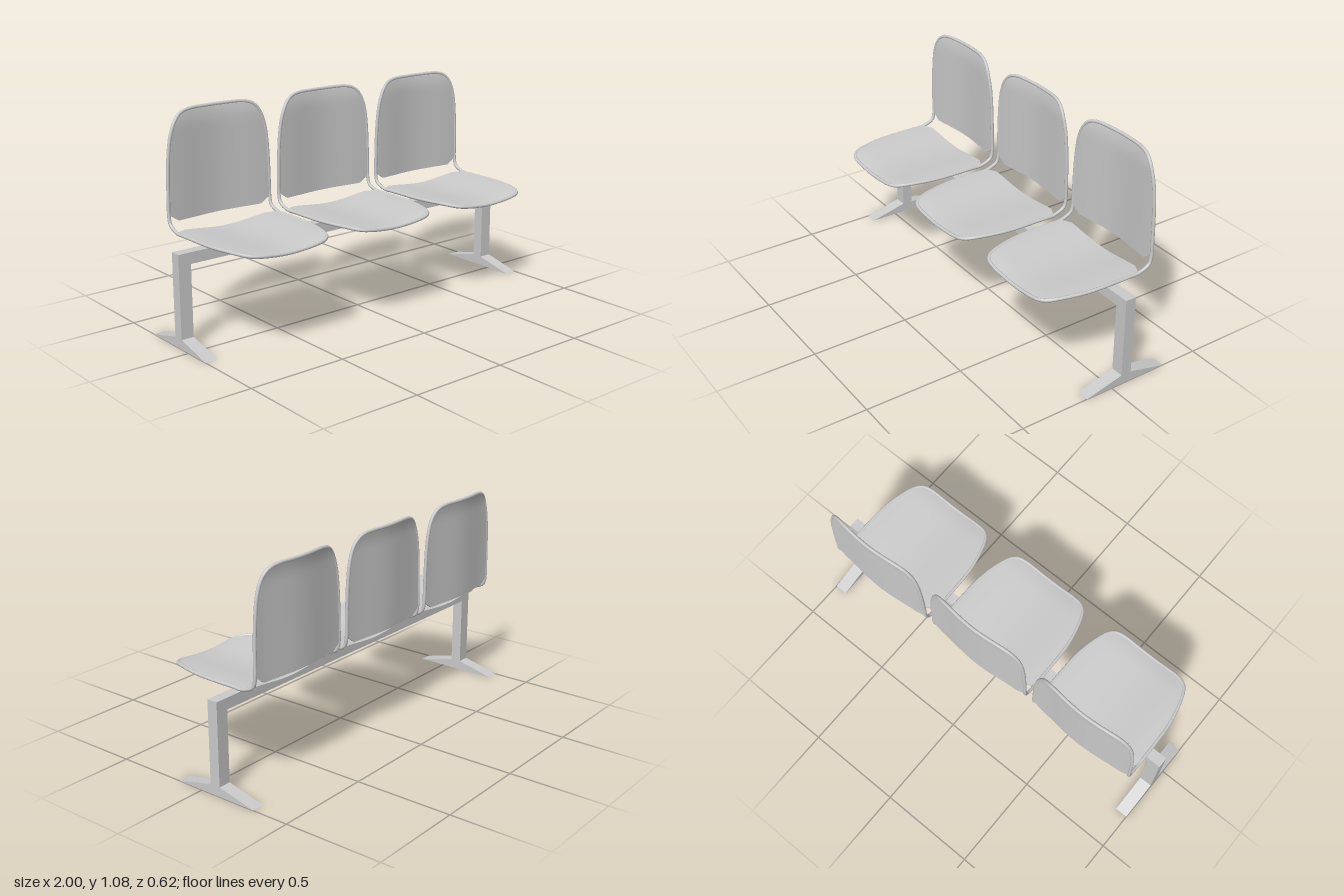
import * as THREE from 'three';

const material = new THREE.MeshStandardMaterial({ color: 0xcccccc });
const HALF = 0.287;       // half width of a seat frame, tube centre
const BEAM_Z = -0.083;

function addMesh(parent, name, geometry, x = 0, y = 0, z = 0) {
  const mesh = new THREE.Mesh(geometry, material);
  mesh.name = name;
  mesh.position.set(x, y, z);
  parent.add(mesh);
  return mesh;
}

// Hollow across the width, shared by frame and panels
const dip = (x) => 0.021 * (0.5 + 0.5 * Math.cos(Math.PI * Math.min(1, Math.abs(x) / HALF)));
const curl = (s, start, end, amount) => amount * Math.max(0, (s - start) / (end - start)) ** 2;

// Surfaces: s runs to the front on the seat and upwards on the backrest; t is the offset along the normal
const seatPoint = (x, s, t = 0) =>
  new THREE.Vector3(x, 0.51 - dip(x) - curl(s, 0.2, 0.3, 0.007) + t, s);
const backPoint = (x, s, t = 0) =>
  new THREE.Vector3(x, s, -0.264 - dip(x) - curl(s, 0.98, 1.068, 0.01) + t);

// Half outlines as (half width, s), from the bend to the free edge
const outline = (points) => new THREE.SplineCurve(points.map(([w, s]) => new THREE.Vector2(w, s)));
const seatOutline = outline([[0.287, -0.19], [0.286, -0.05], [0.283, 0.05], [0.27, 0.14],
  [0.245, 0.23], [0.222, 0.272], [0.19, 0.293], [0.14, 0.3]]);
const backOutline = outline([[0.287, 0.585], [0.284, 0.74], [0.277, 0.86], [0.264, 0.945],
  [0.24, 1.01], [0.21, 1.046], [0.175, 1.062], [0.13, 1.068]]);

// Thin curved panel with chamfered inner corners
function panelGeometry(curve, innerRow, surface, flip) {
  const rows = 25;
  const geometry = new THREE.BoxGeometry(1, 1, 1, 16, 1, rows);
  const position = geometry.attributes.position;
  for (let i = 0; i < position.count; i++) {
    const row = Math.round((position.getZ(i) + 0.5) * rows);
    const [w, s] = row === 0 ? innerRow : curve.getPoint((row - 1) / (rows - 1)).toArray();
    const p = surface(position.getX(i) * 2 * w * flip, s, position.getY(i) * 0.01);
    position.setXYZ(i, p.x, p.y, p.z);
  }
  geometry.computeVertexNormals();
  return geometry;
}

// Closed bent tube running round the seat and the backrest
function frameGeometry() {
  const side = [
    seatPoint(0.07, 0.3),
    ...seatOutline.getPoints(16).reverse().map((p) => seatPoint(p.x, p.y)),
    new THREE.Vector3(HALF, 0.535, -0.25),
    new THREE.Vector3(HALF, 0.55, -0.258),
    ...backOutline.getPoints(16).map((p) => backPoint(p.x, p.y)),
    backPoint(0.065, 1.068),
  ];
  const mirrored = side.map((p) => new THREE.Vector3(-p.x, p.y, p.z)).reverse();
  const path = new THREE.CatmullRomCurve3(
    [seatPoint(0, 0.3), ...side, backPoint(0, 1.068), ...mirrored], true);
  return new THREE.TubeGeometry(path, 160, 0.0085, 8, true);
}

// Upright and tapered foot as one inverted T
function legGeometry() {
  const half = 0.0275;
  const shape = new THREE.Shape([
    [0.225, 0], [half, 0.048], [half, 0.458], [-half, 0.458], [-half, 0.048], [-0.225, 0],
  ].map(([x, y]) => new THREE.Vector2(x, y)));
  const geometry = new THREE.ExtrudeGeometry(shape, { depth: 0.065, bevelEnabled: false });
  return geometry.rotateY(-Math.PI / 2).translate(0.0325, 0, 0);
}

export function createModel() {
  const model = new THREE.Group();
  model.name = 'beamBench';

  // Base
  addMesh(model, 'beam', new THREE.BoxGeometry(1.87, 0.056, 0.055), 0, 0.43, BEAM_Z);
  const leg = legGeometry();
  addMesh(model, 'leftLeg', leg, 0.9675, 0, BEAM_Z);
  addMesh(model, 'rightLeg', leg, -0.9675, 0, BEAM_Z);

  // Three identical seats
  const frame = frameGeometry();
  const seatPanel = panelGeometry(seatOutline, [0.235, -0.218], seatPoint, 1);
  const backPanel = panelGeometry(backOutline, [0.235, 0.548], backPoint, -1);
  const mount = new THREE.BoxGeometry(0.1, 0.03, 0.055);
  for (const x of [-0.63, 0, 0.63]) {
    const seat = new THREE.Group();
    seat.name = 'seat';
    seat.position.x = x;
    addMesh(seat, 'seatFrame', frame);
    addMesh(seat, 'seatPanel', seatPanel);
    addMesh(seat, 'backPanel', backPanel);
    addMesh(seat, 'seatMount', mount, 0, 0.471, BEAM_Z);
    model.add(seat);
  }
  return model;
}
